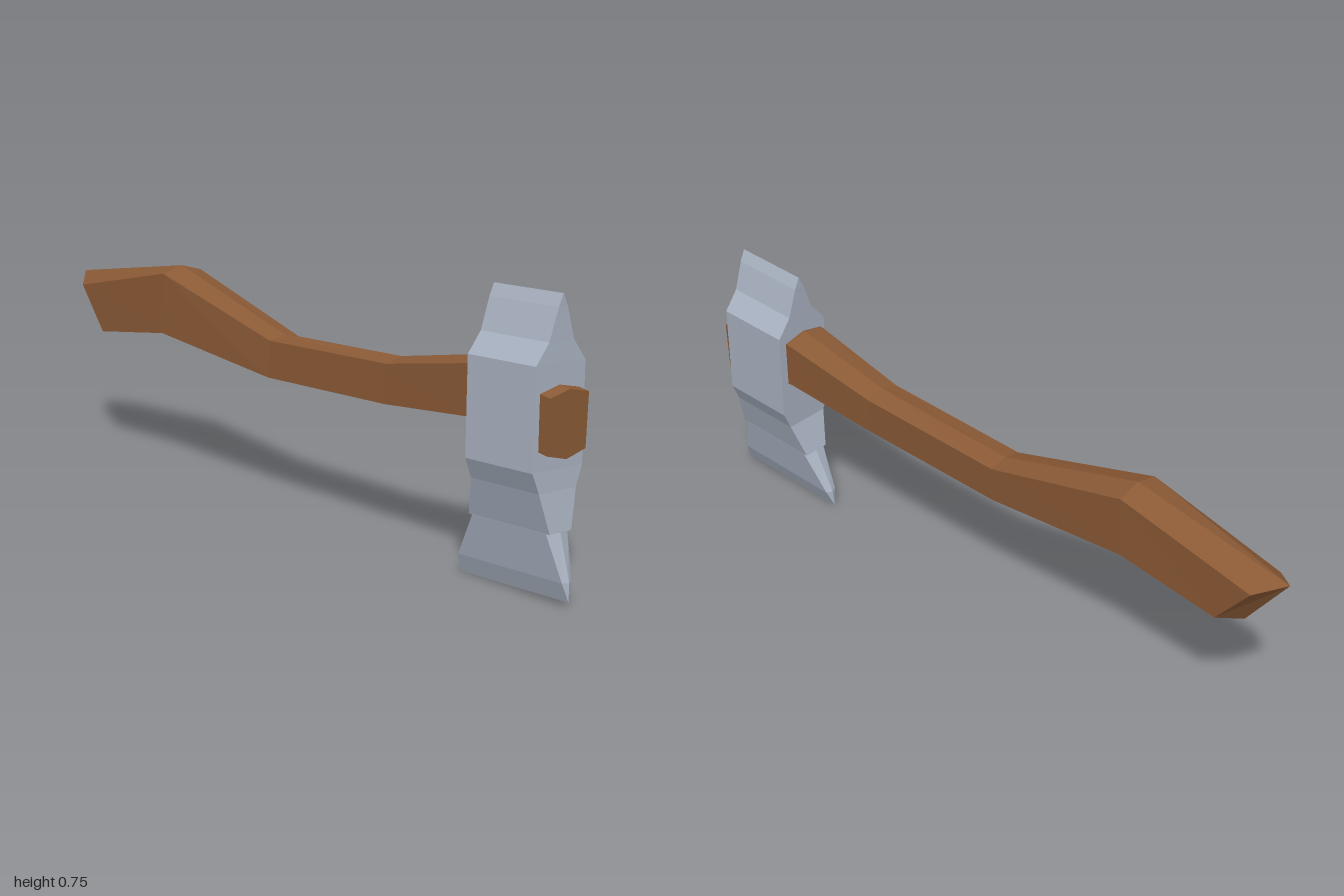
import * as THREE from 'three';

const V = (x, y, z) => new THREE.Vector3(x, y, z);

// Flat-faced skin through rings of equal point count, capped at both ends
function loft(rings) {
  const pos = [];
  const tri = (a, b, c) => {
    const area = b.clone().sub(a).cross(c.clone().sub(a)).length();
    if (area > 1e-8) for (const p of [a, b, c]) pos.push(p.x, p.y, p.z);
  };
  const n = rings[0].length;
  for (let i = 0; i < rings.length - 1; i++) {
    for (let j = 0; j < n; j++) {
      const k = (j + 1) % n, a = rings[i], b = rings[i + 1];
      tri(a[j], a[k], b[k]);
      tri(a[j], b[k], b[j]);
    }
  }
  const first = rings[0], last = rings[rings.length - 1];
  for (let j = 1; j < n - 1; j++) {
    tri(first[0], first[j + 1], first[j]);
    tri(last[0], last[j], last[j + 1]);
  }
  const g = new THREE.BufferGeometry();
  g.setAttribute('position', new THREE.Float32BufferAttribute(pos, 3));
  g.computeVertexNormals();
  return g;
}

export function createModel() {
  const steel = new THREE.MeshStandardMaterial({ color: 0xa9b2c1, flatShading: true });
  const wood = new THREE.MeshStandardMaterial({ color: 0x8b5a36, flatShading: true });
  const group = new THREE.Group();

  // Axe head, top to cutting edge: y, left x, right x, front z, back z, corner inset
  const headRings = [
    [0.752, 0.012, 0.012, 0.926, 0.699, 0],
    [0.72, -0.004, 0.027, 0.926, 0.70, 0],
    [0.639, -0.035, 0.05, 0.928, 0.704, 0],
    [0.586, -0.08, 0.09, 0.93, 0.706, 0],
    [0.33, -0.092, 0.08, 0.939, 0.716, 0],
    [0.278, -0.073, 0.056, 0.943, 0.718, 0],
    [0.178, -0.05, 0.025, 0.96, 0.69, 0],
    [0.177, -0.05, 0.025, 0.96, 0.69, 0.012],
    [0.06, -0.034, 0, 0.997, 0.632, 0.008],
    [0.012, -0.02, -0.02, 0.999, 0.629, 0],
  ].map(([y, l, r, f, b, inset]) => {
    const m = (l + r) / 2;
    // the head sits slightly rolled and pitched on the handle
    const p = (x, z) => V(x, y - 0.045 * (x - m) + 0.04 * (z - 0.815), z);
    return [p(r, f - inset), p(m, f), p(l, f - inset), p(l, b + inset), p(m, b), p(r, b + inset)];
  });
  const head = new THREE.Mesh(loft(headRings), steel);
  head.name = 'axeHead';

  // Handle, front to back: ridge y / z, upper side y / z, lower side y / z, keel y / z, half width
  const handleRings = [
    [0.535, 0.965, 0.521, 0.965, 0.382, 0.965, 0.365, 0.965, 0.067],
    [0.572, 0.70, 0.557, 0.70, 0.425, 0.70, 0.413, 0.70, 0.066],
    [0.51, 0.39, 0.496, 0.39, 0.392, 0.39, 0.383, 0.39, 0.053],
    [0.487, -0.07, 0.475, -0.07, 0.374, -0.07, 0.361, -0.07, 0.052],
    [0.61, -0.52, 0.592, -0.52, 0.421, -0.52, 0.412, -0.52, 0.067],
    [0.525, -0.995, 0.497, -0.925, 0.374, -0.82, 0.36, -0.868, 0.061],
  ].map(([ty, tz, uy, uz, ly, lz, by, bz, w]) => {
    const s = 0.002; // slight roll
    return [V(0, ty, tz), V(w, uy - s, uz), V(w - 0.006, ly - s, lz),
      V(-0.005, by, bz), V(-w - 0.006, ly + s, lz), V(-w, uy + s, uz)];
  });
  const handle = new THREE.Mesh(loft(handleRings), wood);
  handle.name = 'handle';

  group.add(head, handle);
  return group;
}
